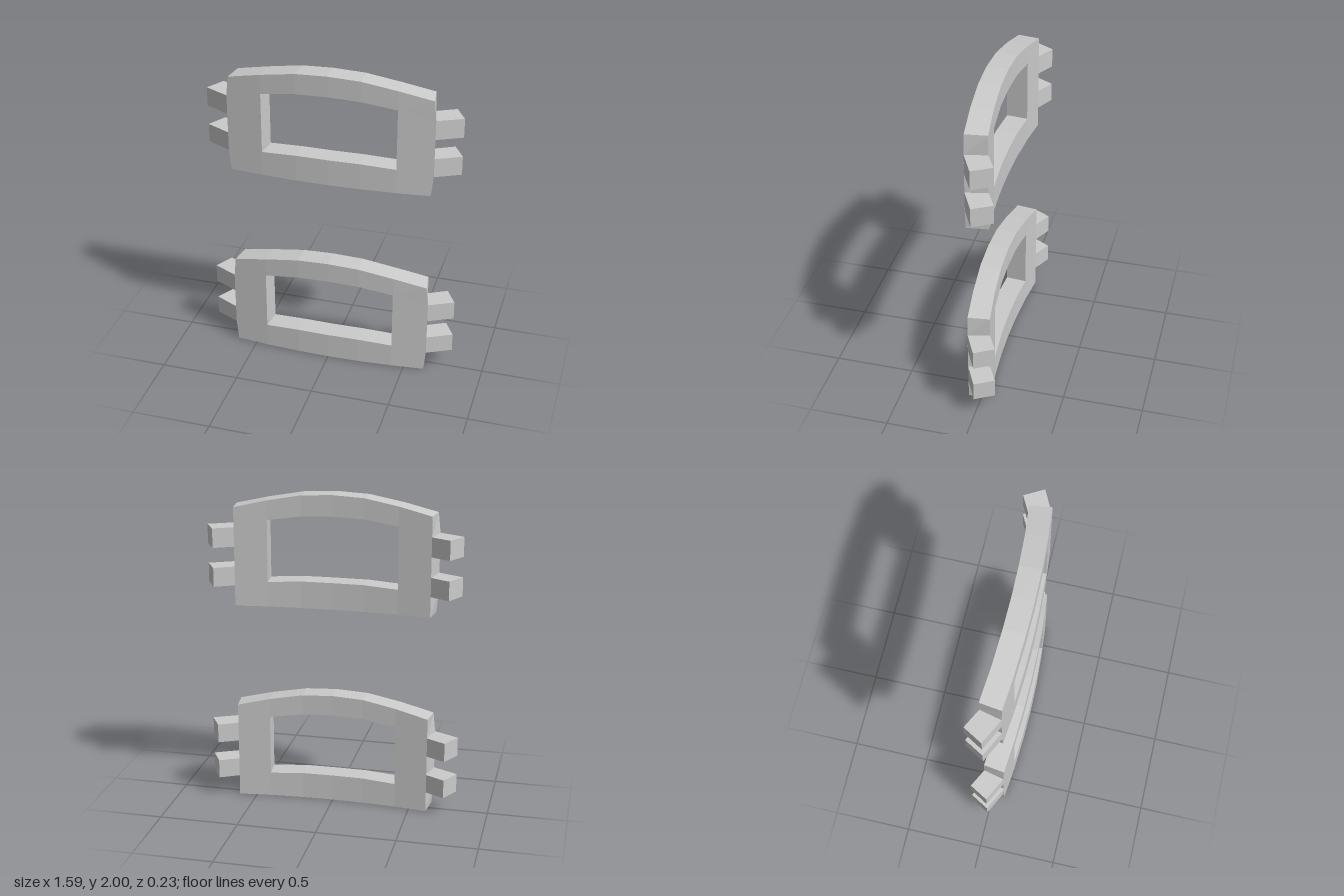
import * as THREE from 'three';

const DEPTH = 0.133;
const material = new THREE.MeshStandardMaterial({ color: 0xcccccc, flatShading: true, side: THREE.DoubleSide });

// Front and back points of the bowed plate at a given x
const front = (x, y) => [x, y, 0.118 - 0.096 * x * x];
const back = (x, y) => [x * 0.97, y, 0.118 - 0.096 * x * x - DEPTH];

// Joins four-cornered rings; skip(segment, edge) leaves faces open
function loft(name, rings, capped, skip = () => false) {
  const pos = [];
  const quad = (a, b, c, d) => pos.push(...a, ...b, ...c, ...a, ...c, ...d);
  for (let i = 0; i < rings.length - 1; i++) {
    const a = rings[i], b = rings[i + 1];
    for (let j = 0; j < 4; j++) {
      const k = (j + 1) % 4;
      if (!skip(i, j)) quad(a[j], a[k], b[k], b[j]);
    }
  }
  if (capped) {
    const [a0, a1, a2, a3] = rings[0];
    quad(a0, a3, a2, a1);
    quad(...rings[rings.length - 1]);
  }
  const geometry = new THREE.BufferGeometry();
  geometry.setAttribute('position', new THREE.Float32BufferAttribute(pos, 3));
  geometry.computeVertexNormals();
  const mesh = new THREE.Mesh(geometry, material);
  mesh.name = name;
  return mesh;
}

// Mirrors rings to the other side and keeps the faces outward
const toSide = (rings, side) => side > 0 ? rings
  : rings.map(r => r.map(([x, y, z]) => [-x, y, z]).reverse());

function createFrame() {
  const frame = new THREE.Group();

  // Curved rails: x, lower edge, upper edge
  const rail = (name, stations) => frame.add(loft(name, stations.map(([x, lo, hi]) =>
    [front(x, hi), front(x, lo), back(x, lo), back(x, hi)]), false));
  const mirrored = half => [...half.map(([x, lo, hi]) => [-x, lo, hi]), [0, half[1][1], half[1][2]], ...half.slice().reverse()];
  const top = mirrored([[0.42, 0.547, 0.669], [0.2, 0.578, 0.707]]);
  top[2] = [0, 0.585, 0.716];
  rail('topRail', top);
  rail('bottomRail', mirrored([[0.42, 0.158, 0], [0.2, 0.17, 0]].map(([x, hi, lo]) => [x, lo, hi])));

  for (const side of [1, -1]) {
    const label = side > 0 ? 'left' : 'right';

    // Side post: inner y, outer y, outer x
    const post = [[0, 0, 0.63], [0.158, 0.13, 0.643], [0.547, 0.498, 0.643], [0.669, 0.623, 0.63]]
      .map(([yi, yo, x]) => [front(0.42, yi), front(x, yo), [0.612, yo, -0.055], back(0.42, yi)]);
    frame.add(loft(label + 'Post', toSide(post, side), true, (i, j) => j === 3 && i !== 1));

    // Two angled lugs
    [[0.13, 0.25], [0.376, 0.498]].forEach((levels, n) => {
      const rings = levels.map(y =>
        [[0.643, y, 0.078], [0.797, y, 0.002], [0.73, y, -0.116], [0.612, y, -0.055]]);
      frame.add(loft(label + (n ? 'UpperLug' : 'LowerLug'), toSide(rings, side), true, (i, j) => j === 3));
    });
  }
  return frame;
}

export function createModel() {
  const model = new THREE.Group();
  model.name = 'framePair';
  ['lowerFrame', 'upperFrame'].forEach((name, i) => {
    const frame = createFrame();
    frame.name = name;
    frame.position.y = i * 1.284;
    model.add(frame);
  });
  return model;
}
